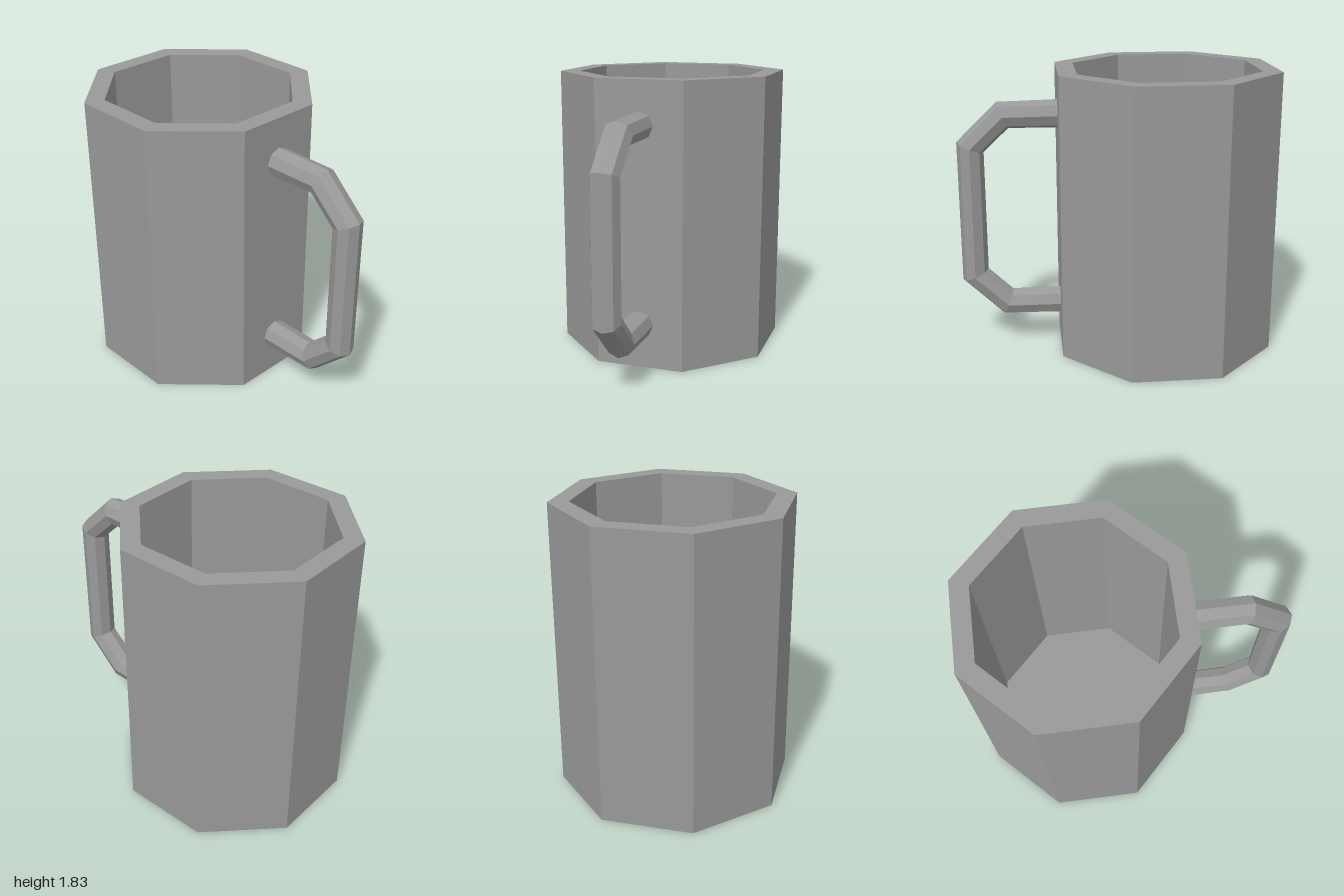
import * as THREE from 'three';

const SIDES = 8;
const CUP_X = -0.318;
const HEIGHT = 1.83;

// Octagonal tube whose rings are mitred in the xy plane: [x, y, ring angle in degrees]
function mitredTube(rings, radius) {
  const positions = [], index = [];
  for (const [x, y, degrees] of rings) {
    const t = THREE.MathUtils.degToRad(degrees);
    for (let j = 0; j < SIDES; j++) {
      const a = (j / SIDES) * Math.PI * 2;
      const out = radius * Math.cos(a);
      positions.push(x + out * Math.cos(t), y + out * Math.sin(t), radius * Math.sin(a));
    }
  }
  for (let i = 0; i < rings.length - 1; i++) {
    for (let j = 0; j < SIDES; j++) {
      const k = (j + 1) % SIDES;
      const a = i * SIDES + j, b = i * SIDES + k;
      index.push(a, b, a + SIDES, b, b + SIDES, a + SIDES);
    }
  }
  const geometry = new THREE.BufferGeometry();
  geometry.setAttribute('position', new THREE.Float32BufferAttribute(positions, 3));
  geometry.setIndex(index);
  geometry.computeVertexNormals();
  return geometry;
}

export function createModel() {
  const group = new THREE.Group();
  group.name = 'mug';

  const grey = new THREE.MeshStandardMaterial({ color: 0x999999, flatShading: true });
  grey.name = 'grey';

  // Hollow octagonal cup: base, outer wall, rim, inner wall and floor
  const outer = 0.739, inner = 0.614, floor = 0.12;
  const profile = [[0, 0], [outer, 0], [outer, HEIGHT], [inner, HEIGHT], [inner, floor], [0, floor]]
    .map(([r, y]) => new THREE.Vector2(r, y));
  const cup = new THREE.Mesh(new THREE.LatheGeometry(profile, SIDES, Math.PI / SIDES), grey);
  cup.name = 'cup';
  cup.position.x = CUP_X;
  group.add(cup);

  // Handle: upper half mirrored about its middle height, ends sunk in the wall
  const middle = 0.9175;
  const upper = [[0.34, 1.549, 90], [0.708, 1.546, 67.5], [0.917, 1.345, 22.5]];
  const lower = upper.map(([x, y, a]) => [x, 2 * middle - y, -a]).reverse();
  const handle = new THREE.Mesh(mitredTube([...upper, ...lower], 0.091), grey);
  handle.name = 'handle';
  group.add(handle);

  return group;
}
